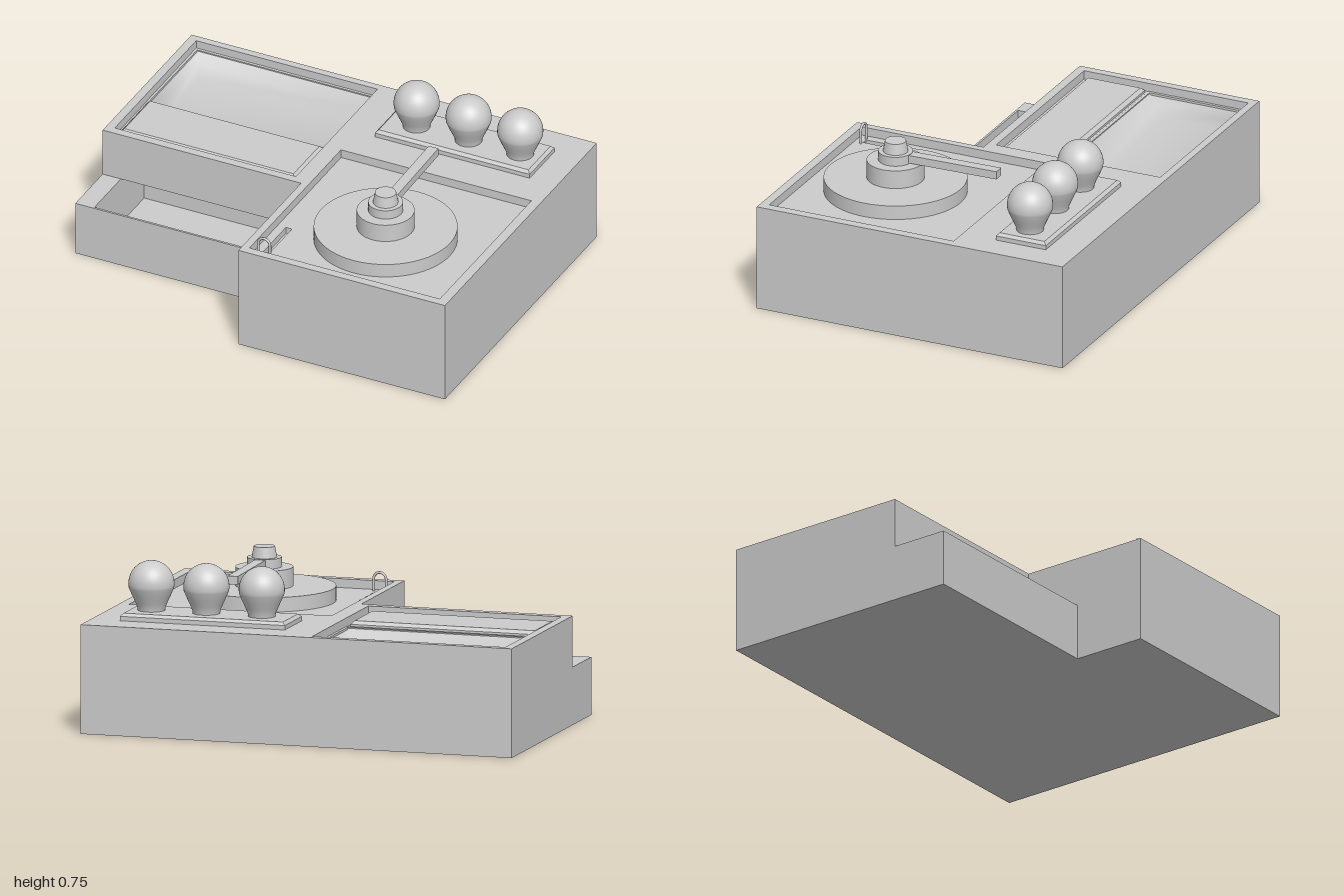
import * as THREE from 'three';

const mat = new THREE.MeshStandardMaterial({ color: 0xcccccc });
const matDouble = new THREE.MeshStandardMaterial({ color: 0xcccccc, side: THREE.DoubleSide });

export function createModel() {
  const model = new THREE.Group();

  const add = (name, geo, x = 0, y = 0, z = 0, material = mat) => {
    const mesh = new THREE.Mesh(geo, material);
    mesh.name = name;
    mesh.position.set(x, y, z);
    model.add(mesh);
    return mesh;
  };

  const outline = (Type, [x0, x1, z0, z1]) =>
    new Type([[x0, z1], [x1, z1], [x1, z0], [x0, z0]].map(([x, z]) => new THREE.Vector2(x, -z)));

  // Upright slab over a rectangle [x0, x1, z0, z1], with rectangular openings
  const slab = (name, rect, y0, y1, ...holes) => {
    const shape = outline(THREE.Shape, rect);
    shape.holes = holes.map((h) => outline(THREE.Path, h));
    const geo = new THREE.ExtrudeGeometry(shape, { depth: y1 - y0, bevelEnabled: false });
    return add(name, geo.rotateX(-Math.PI / 2), 0, y0, 0);
  };

  // Stack of rectangles [x0, x1, z0, z1, y] joined by sloped sides, last one closed
  const loft = (name, rings, smooth, material) => {
    const pos = [];
    const index = [];
    for (const [x0, x1, z0, z1, y] of rings) pos.push(x0, y, z1, x1, y, z1, x1, y, z0, x0, y, z0);
    for (let r = 0; r < rings.length - 1; r++) {
      for (let i = 0; i < 4; i++) {
        const a = r * 4 + i, b = r * 4 + ((i + 1) % 4);
        index.push(a, b, b + 4, a, b + 4, a + 4);
      }
    }
    const t = (rings.length - 1) * 4;
    index.push(t, t + 1, t + 2, t, t + 2, t + 3);
    let geo = new THREE.BufferGeometry();
    geo.setAttribute('position', new THREE.Float32BufferAttribute(pos, 3));
    geo.setIndex(index);
    if (!smooth) geo = geo.toNonIndexed();
    geo.computeVertexNormals();
    return add(name, geo, 0, 0, 0, material);
  };

  const bevelPlate = (name, [x0, x1, z0, z1], y0, y1, bevel) => loft(name, [
    [x0, x1, z0, z1, y0],
    [x0, x1, z0, z1, y1 - bevel],
    [x0 + bevel, x1 - bevel, z0 + bevel, z1 - bevel, y1],
  ]);

  // Larger cabinet with a shallow well and a slot in its floor
  const well = [0.015, 0.955, -0.195, 0.71];
  const slot = [0.055, 0.085, 0.43, 0.67];
  slab('rightCabinet', [-0.02, 1, -0.75, 0.75], 0, 0.49, well);
  slab('wellFloor', well, 0, 0.45, slot);
  slab('slotFloor', slot, 0, 0.42);

  // Smaller cabinet above the drawer, with a tray well
  const tray = [-0.96, -0.065, -0.715, 0.09];
  const basin = [-0.96, -0.065, -0.715, -0.225];
  slab('leftCabinet', [-1, -0.02, -0.75, 0.13], 0.26, 0.49, tray);
  slab('trayFloor', tray, 0.26, 0.45, [-0.95, -0.075, -0.705, -0.235]);
  slab('basinBase', basin, 0.26, 0.3);
  loft('basin', [
    [...basin, 0.452],
    [-0.925, -0.1, -0.66, -0.285, 0.41],
    [-0.89, -0.13, -0.6, -0.345, 0.375],
  ], true, matDouble);
  bevelPlate('trayLid', [-0.945, -0.08, -0.215, 0.07], 0.45, 0.475, 0.015);

  // Open drawer running below the smaller cabinet
  const drawerWell = [-0.91, -0.04, -0.1, 0.39];
  slab('drawer', [-1, -0.02, -0.75, 0.4], 0, 0.26, drawerWell);
  slab('drawerFloor', drawerWell, 0, 0.03);

  // Round platter with stepped hub and knob
  const cx = 0.49, cz = 0.315;
  const steps = [
    ['platter', 0.318, 0.318, 0.45, 0.515],
    ['hub', 0.128, 0.128, 0.515, 0.6],
    ['hubRing', 0.077, 0.077, 0.6, 0.643],
    ['knob', 0.047, 0.056, 0.643, 0.692],
  ];
  for (const [name, top, bottom, y0, y1] of steps) {
    add(name, new THREE.CylinderGeometry(top, bottom, y1 - y0, 64), cx, (y0 + y1) / 2, cz);
  }

  // Arm pointing to the back
  const arm = add('arm', new THREE.BoxGeometry(0.048, 0.037, 0.46), 0.482, 0.622, 0.045);
  arm.rotation.y = 0.023;

  // Small upright loop at the end of the slot
  const loopPath = new THREE.CurvePath();
  const r = 0.029;
  loopPath.add(new THREE.LineCurve3(new THREE.Vector3(-r, -0.06, 0), new THREE.Vector3(-r, 0, 0)));
  const arc = [];
  for (let i = 0; i <= 12; i++) {
    const a = Math.PI * (1 - i / 12);
    arc.push(new THREE.Vector3(r * Math.cos(a), r * Math.sin(a), 0));
  }
  loopPath.add(new THREE.CatmullRomCurve3(arc));
  loopPath.add(new THREE.LineCurve3(new THREE.Vector3(r, 0, 0), new THREE.Vector3(r, -0.06, 0)));
  add('loop', new THREE.TubeGeometry(loopPath, 40, 0.006, 8), 0.07, 0.505, 0.675);

  // Three bulbs on a bevelled base
  bevelPlate('bulbBase', [0.1, 0.865, -0.603, -0.358], 0.49, 0.523, 0.013);
  const profile = [[0.06, 0.515], [0.062, 0.535], [0.072, 0.56], [0.086, 0.59]]
    .map(([x, y]) => new THREE.Vector2(x, y));
  for (let i = 0; i <= 16; i++) {
    const a = -0.2 + (Math.PI / 2 + 0.2) * (i / 16);
    profile.push(new THREE.Vector2(Math.max(0, 0.102 * Math.cos(a)), 0.643 + 0.102 * Math.sin(a)));
  }
  const bulb = new THREE.LatheGeometry(profile, 40);
  for (const x of [0.248, 0.505, 0.76]) add('bulb', bulb, x, 0, -0.475);

  return model;
}
